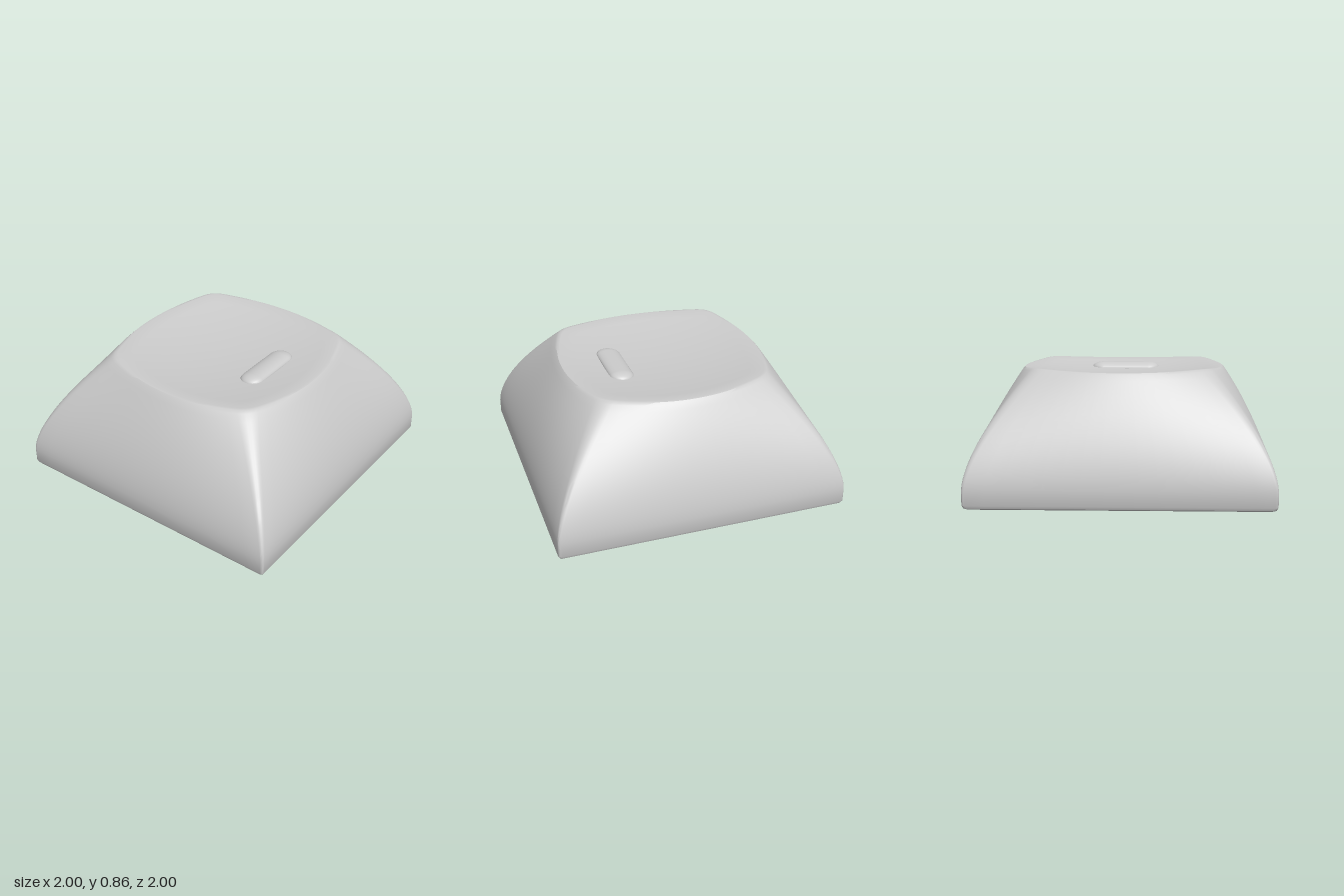
import * as THREE from 'three';
import { toCreasedNormals } from 'three/addons/utils/BufferGeometryUtils.js';

const material = new THREE.MeshStandardMaterial({ color: 0xcccccc });
const CEILING = 0.6;

// Height of the scooped top
const dish = (x, z) => 0.79 + 0.123 * (x * x + z * z);

// Square outline with bulging sides: c = corner half-width, m = mid-side half-width, r = corner rounding
function outline(c, m, r) {
  const side = [];
  const q = 1 - r / c;
  const at = (s) => [c * s, m - (m - c) * s * s];
  for (let i = 0; i <= 16; i++) side.push(at(q * (i / 8 - 1)));
  const [ax, az] = at(q);
  for (let i = 1; i < 5; i++) {
    const t = i / 5, a = (1 - t) ** 2, b = 2 * t * (1 - t), d = t * t;
    side.push([a * ax + b * c + d * az, a * az + b * c + d * ax]);
  }
  const points = [];
  for (let k = 0; k < 4; k++) {
    for (const [x, z] of side) {
      points.push([[x, z], [z, -x], [-x, -z], [-z, x]][k]);
    }
  }
  return points;
}

// Join successive rings of points into a surface
function loft(rings) {
  const n = rings[0].length;
  const index = [];
  for (let i = 0; i < rings.length - 1; i++) {
    for (let j = 0; j < n; j++) {
      const a = i * n + j, b = i * n + (j + 1) % n;
      index.push(a, b, b + n, a, b + n, a + n);
    }
  }
  const geometry = new THREE.BufferGeometry();
  geometry.setAttribute('position', new THREE.Float32BufferAttribute(rings.flat(2), 3));
  geometry.setIndex(index);
  return toCreasedNormals(geometry, 0.62);
}

// Hollow cap: ceiling, inner walls, bottom rim, curved sides, scooped top
function capGeometry() {
  const rings = [];
  const flat = (c, m, r, y) => rings.push(outline(c, m, r).map(([x, z]) => [x, y, z]));

  const ceiling = outline(0.55, 0.58, 0.05);
  for (const t of [0, 0.5, 1]) rings.push(ceiling.map(([x, z]) => [x * t, CEILING, z * t]));
  flat(0.81, 0.81, 0.05, 0);
  flat(0.97, 0.97, 0.02, 0);
  flat(0.99, 0.99, 0.02, 0.01);
  flat(1, 1, 0.02, 0.03);

  const top = outline(0.57, 0.7, 0.07);
  const steps = 20;
  for (let i = 0; i <= steps; i++) {
    const u = (i / steps) * 0.975;
    const section = outline(1 - 0.43 * u ** 1.6, 1 - 0.3 * u ** 1.65, 0.02 + 0.05 * u);
    rings.push(section.map(([x, z], j) => [x, 0.13 + u * (dish(...top[j]) - 0.13), z]));
  }
  rings.push(top.map(([x, z]) => [x, dish(x, z) - 0.005, z]));
  for (const t of [0.975, 0.85, 0.7, 0.55, 0.4, 0.25, 0.12, 0]) {
    rings.push(top.map(([x, z]) => [x * t, dish(x * t, z * t), z * t]));
  }
  return loft(rings);
}

// Switch stem: round post with a cross-shaped socket
function createStem() {
  const stem = new THREE.Group();
  stem.name = 'stem';
  const add = (geometry, name, y = 0) => {
    const mesh = new THREE.Mesh(geometry, material);
    mesh.name = name;
    mesh.position.y = y;
    stem.add(mesh);
  };

  const profile = [[0.275, 0], [0.295, 0.008], [0.305, 0.03], [0.305, CEILING + 0.02]];
  add(new THREE.LatheGeometry(profile.map((p) => new THREE.Vector2(...p)), 48), 'stemPost');

  const socketDepth = 0.42, L = 0.25, w = 0.075;
  const face = new THREE.Shape().absarc(0, 0, 0.275, 0, Math.PI * 2);
  const cross = [];
  for (let k = 0; k < 4; k++) {
    for (const p of [[L, -w], [L, w], [w, w]]) {
      cross.push(new THREE.Vector2(...p).rotateAround(new THREE.Vector2(), k * Math.PI / 2));
    }
  }
  face.holes.push(new THREE.Path(cross));
  const socket = new THREE.ExtrudeGeometry(face, { depth: socketDepth, bevelEnabled: false, curveSegments: 24 });
  socket.rotateX(-Math.PI / 2);
  add(socket, 'crossSocket');

  const plugHeight = CEILING - socketDepth;
  add(new THREE.CylinderGeometry(0.27, 0.27, plugHeight, 32), 'socketEnd', socketDepth + plugHeight / 2);
  return stem;
}

export function createModel() {
  const model = new THREE.Group();
  model.name = 'keycap';

  const cap = new THREE.Mesh(capGeometry(), material);
  cap.name = 'capShell';
  model.add(cap);

  model.add(createStem());

  // Low rounded finger-locating bar
  const bar = new THREE.CapsuleGeometry(0.085, 0.325, 10, 24);
  bar.rotateZ(Math.PI / 2);
  bar.scale(1, 0.45, 1);
  const homingBar = new THREE.Mesh(bar, material);
  homingBar.name = 'homingBar';
  homingBar.position.set(0, dish(0, 0.325), 0.325);
  homingBar.rotation.x = -0.08;
  model.add(homingBar);

  return model;
}
